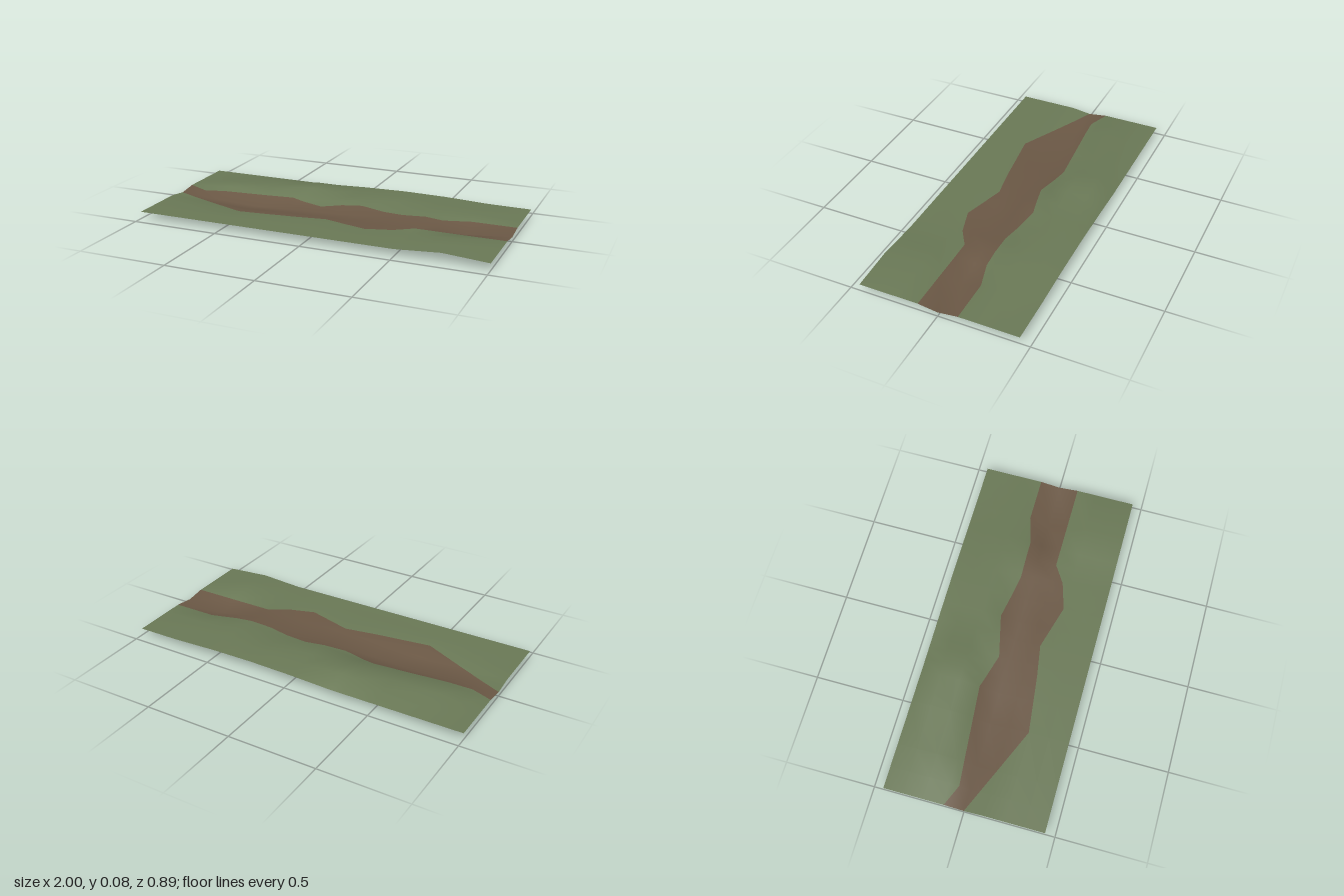
import * as THREE from 'three';

const HALF_Z = 0.445, STEP_X = 0.25, STEP_Z = HALF_Z / 4;

// Ground heights in hundredths: one row per z (back to front), one column per x
const HEIGHTS = [
  [4, 4, 4, 4, 5, 5.5, 5.2, 4.2, 4],
  [4, 5, 6, 8, 6, 6, 5.6, 4.5, 4],
  [4, 6, 6, 8, 6, 6, 6, 4.8, 4],
  [4, 6, 5, 4.2, 5.6, 4.2, 5.4, 4, 4],
  [2.5, 1, 0, 1, 2, 3, 4.4, 0.2, 2.5],
  [4, 3, 2, 3, 3.5, 3, 4, 4, 4],
  [4, 4, 4, 4.2, 4.2, 4, 4.2, 6, 4],
  [4, 4, 4, 4, 4, 4, 4.2, 6, 4],
  [4, 4, 4, 4, 4, 4, 4, 5.7, 4],
];

// Banks of the dry channel as [x, z]
const BACK_BANK = [[-1, -0.11], [-0.88, -0.06], [-0.32, -0.11], [-0.12, -0.055], [0.11, -0.11],
  [0.37, -0.065], [0.6, -0.07], [0.75, -0.113], [1, -0.113]];
const FRONT_BANK = [[-1, 0], [-0.5, 0.22], [-0.18, 0.18], [0, 0.15], [0.25, 0.22],
  [0.4, 0.175], [0.5, 0.11], [1, 0.11]];

const clamp = THREE.MathUtils.clamp, lerp = THREE.MathUtils.lerp;

// Bilinear ground height
function heightAt(x, z) {
  const u = clamp((x + 1) / STEP_X, 0, 8), v = clamp((z + HALF_Z) / STEP_Z, 0, 8);
  const i = Math.min(7, Math.floor(u)), j = Math.min(7, Math.floor(v));
  const a = lerp(HEIGHTS[j][i], HEIGHTS[j][i + 1], u - i);
  const b = lerp(HEIGHTS[j + 1][i], HEIGHTS[j + 1][i + 1], u - i);
  return lerp(a, b, v - j) / 100;
}

// Smooth ground normal from neighbouring heights
function normalAt(x, z) {
  const d = 0.1;
  const x0 = Math.max(-1, x - d), x1 = Math.min(1, x + d);
  const z0 = Math.max(-HALF_Z, z - d), z1 = Math.min(HALF_Z, z + d);
  return new THREE.Vector3(
    -(heightAt(x1, z) - heightAt(x0, z)) / (x1 - x0), 1,
    -(heightAt(x, z1) - heightAt(x, z0)) / (z1 - z0)).normalize();
}

// z of a bank line at x
function bankAt(line, x) {
  for (let i = 1; i < line.length; i++) {
    const [x0, z0] = line[i - 1], [x1, z1] = line[i];
    if (x <= x1) return lerp(z0, z1, (x - x0) / (x1 - x0));
  }
  return line[line.length - 1][1];
}

const ROWS = Array.from({ length: 9 }, (_, j) => -HALF_Z + j * STEP_Z);
const COLUMNS = [...new Set([
  ...Array.from({ length: 9 }, (_, i) => -1 + i * STEP_X),
  ...BACK_BANK.map((p) => p[0]), ...FRONT_BANK.map((p) => p[0]),
])].sort((a, b) => a - b);

// Piece of ground between two edges, following the grid rows in between
function groundPatch(name, from, to, material) {
  const positions = [], normals = [], index = [], zs = [];
  for (const x of COLUMNS) {
    for (const row of ROWS) {
      const z = clamp(row, from(x), to(x)), n = normalAt(x, z);
      positions.push(x, heightAt(x, z), z);
      normals.push(n.x, n.y, n.z);
      zs.push(z);
    }
  }
  const n = ROWS.length;
  for (let i = 0; i < COLUMNS.length - 1; i++) {
    for (let j = 0; j < n - 1; j++) {
      const a = i * n + j, b = a + 1, c = a + n, d = c + 1;
      if (zs[b] - zs[a] > 1e-6) index.push(a, b, c);
      if (zs[d] - zs[c] > 1e-6) index.push(b, d, c);
    }
  }
  const geometry = new THREE.BufferGeometry();
  geometry.setAttribute('position', new THREE.Float32BufferAttribute(positions, 3));
  geometry.setAttribute('normal', new THREE.Float32BufferAttribute(normals, 3));
  geometry.setIndex(index);
  const mesh = new THREE.Mesh(geometry, material);
  mesh.name = name;
  return mesh;
}

export function createModel() {
  const grass = new THREE.MeshStandardMaterial({ color: 0x6b7a57, side: THREE.DoubleSide });
  grass.name = 'grass green';
  const earth = new THREE.MeshStandardMaterial({ color: 0x6c5946, side: THREE.DoubleSide });
  earth.name = 'earth brown';

  const backBank = (x) => bankAt(BACK_BANK, x), frontBank = (x) => bankAt(FRONT_BANK, x);
  const group = new THREE.Group();
  group.name = 'terrain';
  group.add(
    groundPatch('backGrass', () => -HALF_Z, backBank, grass),
    groundPatch('channelBed', backBank, frontBank, earth),
    groundPatch('frontGrass', frontBank, () => HALF_Z, grass));
  return group;
}
